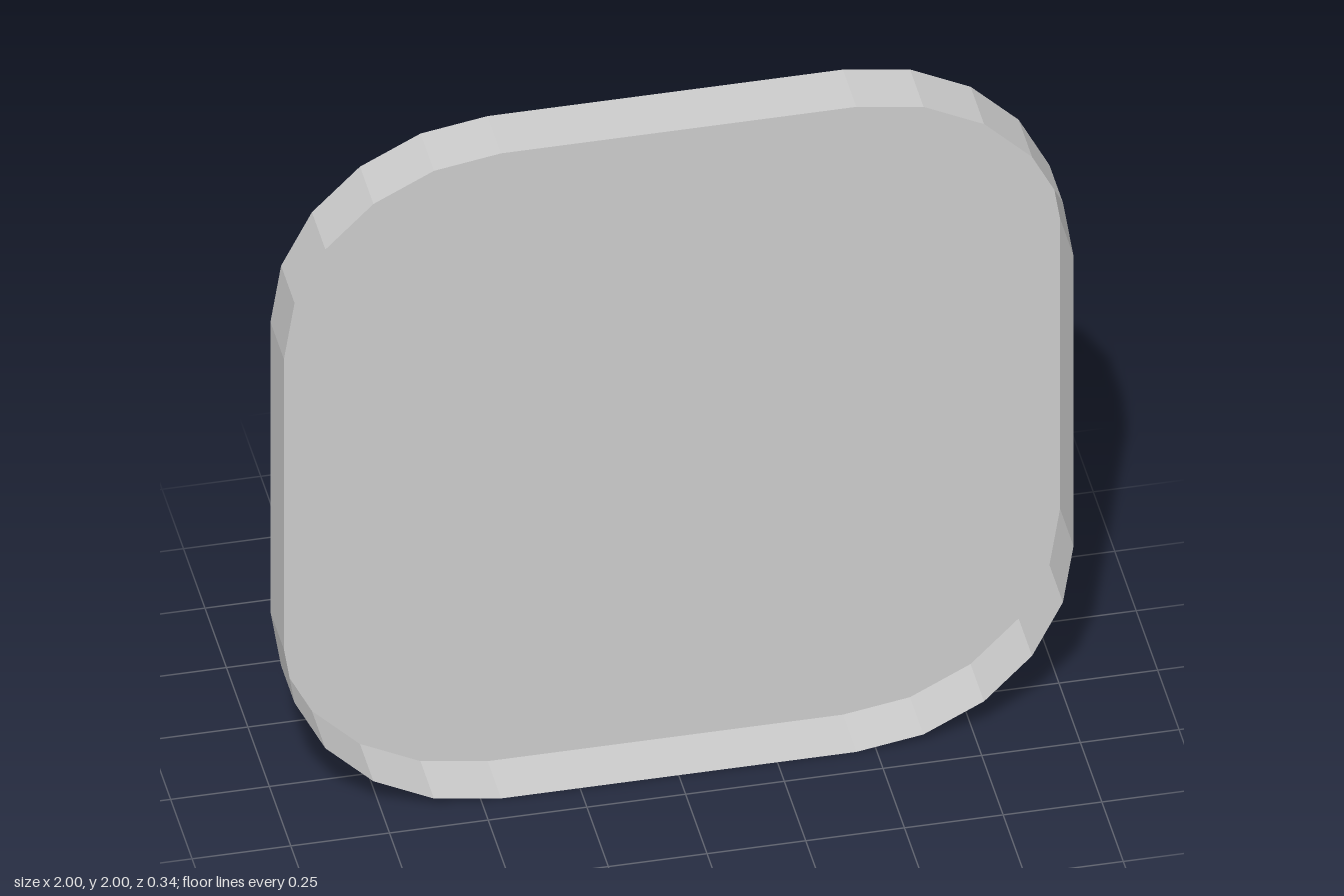
import * as THREE from 'three';

const FLOOR_Z = 0.013, FRONT_Z = 0.17, MID_Y = 1;

// Rounded square outline, counter-clockwise, five facets per corner
function roundedSquare(half, radius, steps) {
  const points = [];
  const c = half - radius;
  [[1, 1], [-1, 1], [-1, -1], [1, -1]].forEach(([sx, sy], corner) => {
    for (let i = 0; i <= steps; i++) {
      const a = (corner + i / steps) * Math.PI / 2;
      points.push(new THREE.Vector2(sx * c + radius * Math.cos(a), sy * c + radius * Math.sin(a)));
    }
  });
  return points;
}

// Thin open wall following an outline between two depths
function wallGeometry(outline, z0, z1) {
  const v = [];
  outline.forEach((p, i) => {
    const q = outline[(i + 1) % outline.length];
    v.push(p.x, p.y, z0, q.x, q.y, z0, q.x, q.y, z1);
    v.push(p.x, p.y, z0, q.x, q.y, z1, p.x, p.y, z1);
  });
  const geometry = new THREE.BufferGeometry();
  geometry.setAttribute('position', new THREE.Float32BufferAttribute(v, 3));
  geometry.computeVertexNormals();
  return geometry;
}

export function createModel() {
  const model = new THREE.Group();
  model.name = 'coverPlate';
  const grey = new THREE.MeshStandardMaterial({ color: 0xcccccc, side: THREE.DoubleSide });
  grey.name = 'lightGrey';

  function add(name, geometry, x, y, z) {
    const mesh = new THREE.Mesh(geometry, grey);
    mesh.name = name;
    mesh.position.set(x, y, z);
    model.add(mesh);
  }

  // Shallow tray, open at the front
  const outline = roundedSquare(1, 0.55, 5);
  const floor = new THREE.ShapeGeometry(new THREE.Shape(outline));
  floor.rotateY(Math.PI); // outward side faces the back
  add('trayFloor', floor, 0, MID_Y, FLOOR_Z);
  add('trayWall', wallGeometry(outline, FLOOR_Z, FRONT_Z), 0, MID_Y, 0);

  // Open round collar on the back, bulging and narrowing: [radius, height above floor]
  const sides = 16;
  const profile = [[0.775, 0], [0.765, 0.043], [0.738, 0.078], [0.7, 0.101]];
  const collar = new THREE.LatheGeometry(
    profile.map(([r, h]) => new THREE.Vector2(r, h)), sides, Math.PI / sides);
  collar.rotateX(-Math.PI / 2);
  add('collar', collar, 0, MID_Y, FLOOR_Z);

  // Four domed studs, cut off where they meet the floor
  const radius = 0.144, centreZ = -0.024;
  const cut = Math.acos((centreZ - FLOOR_Z) / radius);
  const stud = new THREE.SphereGeometry(radius, 12, 4, 0, Math.PI * 2, 0, cut);
  stud.rotateX(-Math.PI / 2);
  for (const sx of [-1, 1]) {
    for (const sy of [-1, 1]) {
      const name = (sy > 0 ? 'upper' : 'lower') + (sx > 0 ? 'Left' : 'Right') + 'Stud';
      add(name, stud, sx * 0.64, MID_Y + sy * 0.64, centreZ);
    }
  }
  return model;
}
